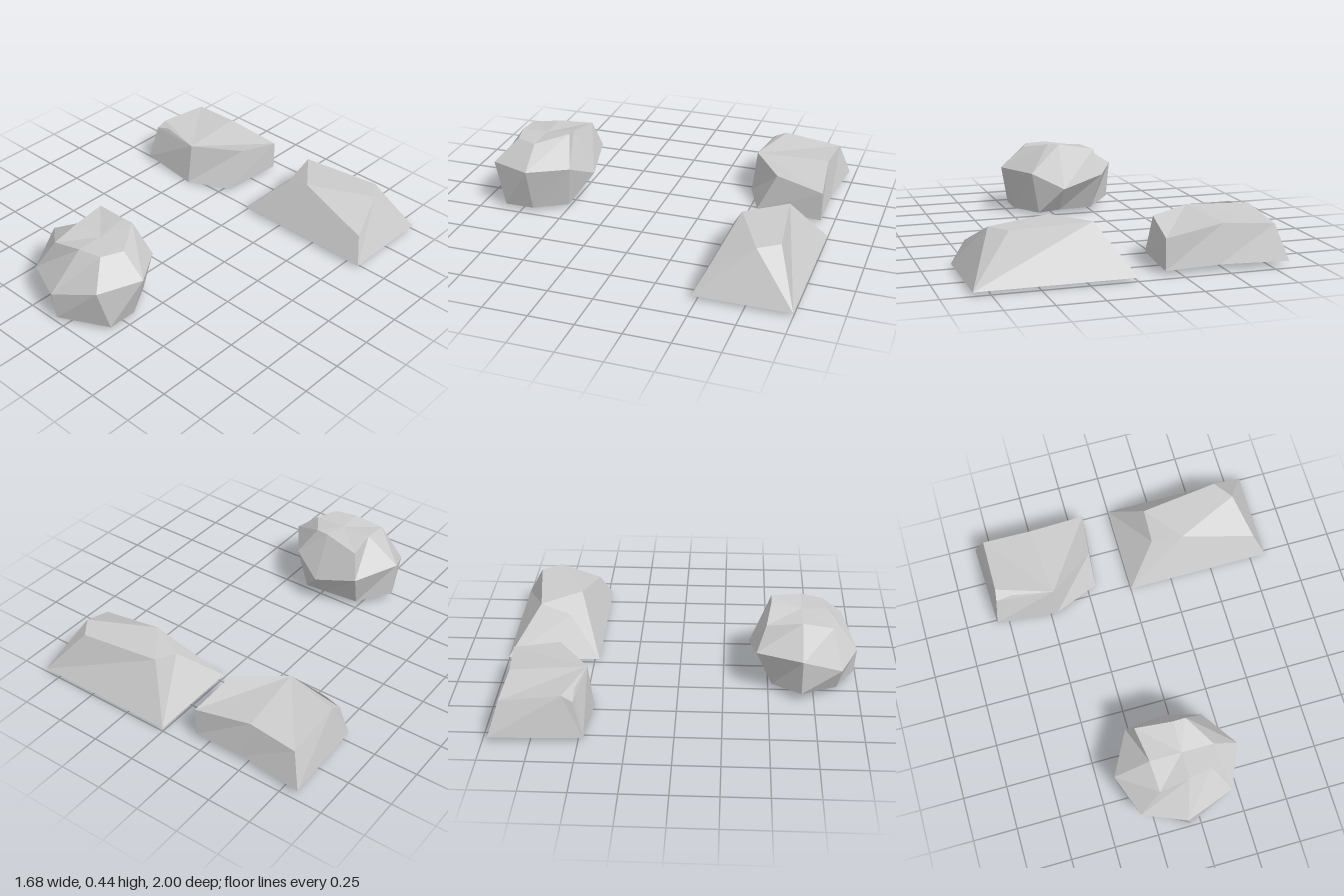
import * as THREE from 'three';

// Faceted skin through rings of [x, y, z] points, bottom to top; a one-point ring closes an end as a fan.
function loftRock(name, rings) {
  const count = Math.max(...rings.map((r) => r.length));
  const at = (ring, i) => new THREE.Vector3(...ring[i % ring.length]);
  const points = [];
  const tri = (a, b, c) => {
    const area = b.clone().sub(a).cross(c.clone().sub(a)).length();
    if (area > 1e-6) points.push(a, b, c);
  };
  for (let r = 0; r + 1 < rings.length; r++) {
    for (let i = 0; i < count; i++) {
      const j = (i + 1) % count;
      const a = at(rings[r], i), b = at(rings[r], j);
      const c = at(rings[r + 1], j), d = at(rings[r + 1], i);
      tri(a, b, c);
      tri(a, c, d);
    }
  }
  const geometry = new THREE.BufferGeometry().setFromPoints(points);
  geometry.computeVertexNormals();
  const material = new THREE.MeshStandardMaterial({
    color: 0xcccccc, flatShading: true, side: THREE.DoubleSide,
  });
  const mesh = new THREE.Mesh(geometry, material);
  mesh.name = name;
  return mesh;
}

export function createModel() {
  const group = new THREE.Group();
  group.name = 'rocks';

  // Round boulder, closed below
  group.add(loftRock('roundBoulder', [
    [[-0.04, 0.03, 0.68]],
    [[-0.39, 0.06, 0.68], [-0.24, 0.02, 0.88], [-0.06, 0.02, 0.99], [0.21, 0.02, 0.85],
      [0.21, 0.02, 0.68], [0.10, 0.02, 0.50], [-0.03, 0.03, 0.50], [-0.24, 0.03, 0.52]],
    [[-0.41, 0.27, 0.68], [-0.32, 0.17, 0.90], [-0.08, 0.17, 1.00], [0.19, 0.27, 0.92],
      [0.29, 0.28, 0.68], [0.15, 0.27, 0.47], [-0.03, 0.18, 0.39], [-0.28, 0.25, 0.43]],
    [[-0.21, 0.40, 0.68], [-0.20, 0.37, 0.85], [-0.03, 0.40, 0.83], [0.10, 0.40, 0.80],
      [0.15, 0.40, 0.68], [0.04, 0.44, 0.51], [-0.03, 0.435, 0.51], [-0.24, 0.40, 0.48]],
    [[-0.03, 0.40, 0.68]],
  ]));

  // Flat-topped rock, open below
  const slabPeak = [-0.46, 0.25, -0.48];
  group.add(loftRock('flatRock', [
    [[-0.46, 0, -0.45], [-0.20, 0.02, -0.55], [-0.17, 0.02, -0.93], [-0.47, 0.03, -0.93],
      [-0.84, 0.03, -0.97], [-0.82, 0.03, -0.47], [-0.82, 0.03, -0.47], [-0.82, 0.03, -0.47]],
    [slabPeak, [-0.20, 0.245, -0.66], [-0.17, 0.19, -0.93], [-0.50, 0.24, -0.895],
      [-0.78, 0.22, -0.91], [-0.78, 0.26, -0.58], [-0.79, 0.23, -0.52], [-0.70, 0.26, -0.52]],
    [slabPeak],
  ]));

  // Wedge rock on a rectangular footprint, open below
  const wedgePeak = [0.35, 0.28, -0.60];
  group.add(loftRock('wedgeRock', [
    [[0, 0.02, -0.47], [0.84, 0.02, -0.47], [0.84, 0.02, -1], [0.84, 0.02, -1],
      [0, 0.02, -1], [0, 0.02, -0.47]],
    [wedgePeak, [0.78, 0.16, -0.54], [0.71, 0.28, -0.77], [0.63, 0.28, -0.88],
      [0.18, 0.28, -0.82], [0.18, 0.21, -0.65]],
    [wedgePeak],
  ]));

  return group;
}
